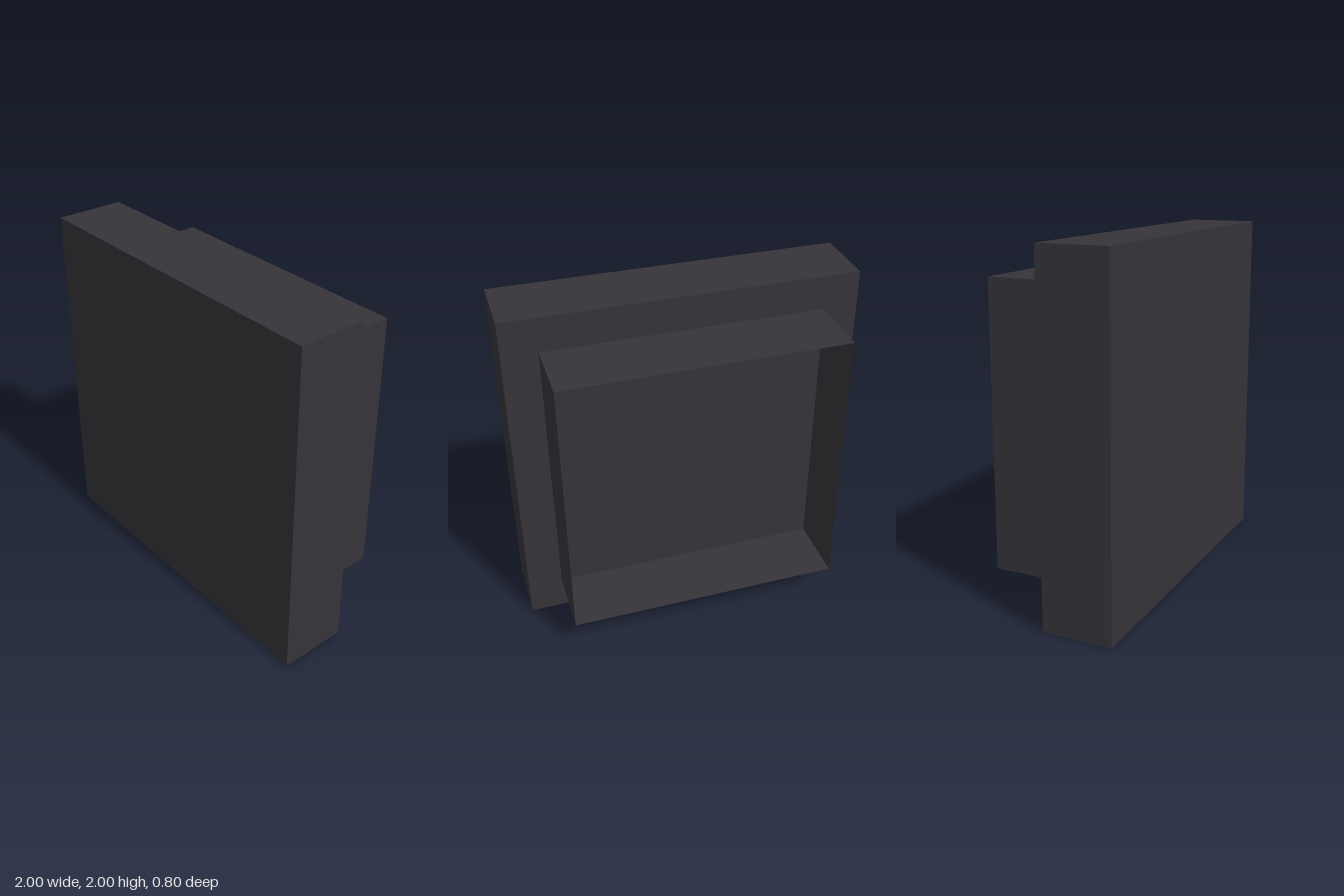
import * as THREE from 'three';

export function createModel() {
  const group = new THREE.Group();
  group.name = 'wallPanel';

  const charcoal = new THREE.MeshStandardMaterial({ color: 0x36343a, side: THREE.DoubleSide });
  charcoal.name = 'charcoal';

  // Solid square front slab
  const slab = new THREE.Mesh(new THREE.BoxGeometry(2, 2, 0.4), charcoal);
  slab.name = 'frontSlab';
  slab.position.set(0, 1, 0.2);
  group.add(slab);

  // Thin-walled square collar, open at the back
  const collar = new THREE.Group();
  collar.name = 'backCollar';
  collar.position.set(0, 1, -0.2);
  const wallGeometry = new THREE.PlaneGeometry(1.6, 0.4);
  wallGeometry.rotateX(-Math.PI / 2).translate(0, 0.8, 0);
  ['topWall', 'rightWall', 'bottomWall', 'leftWall'].forEach((name, i) => {
    const wall = new THREE.Mesh(wallGeometry, charcoal);
    wall.name = name;
    wall.rotation.z = i * Math.PI / 2;
    collar.add(wall);
  });
  group.add(collar);

  return group;
}
